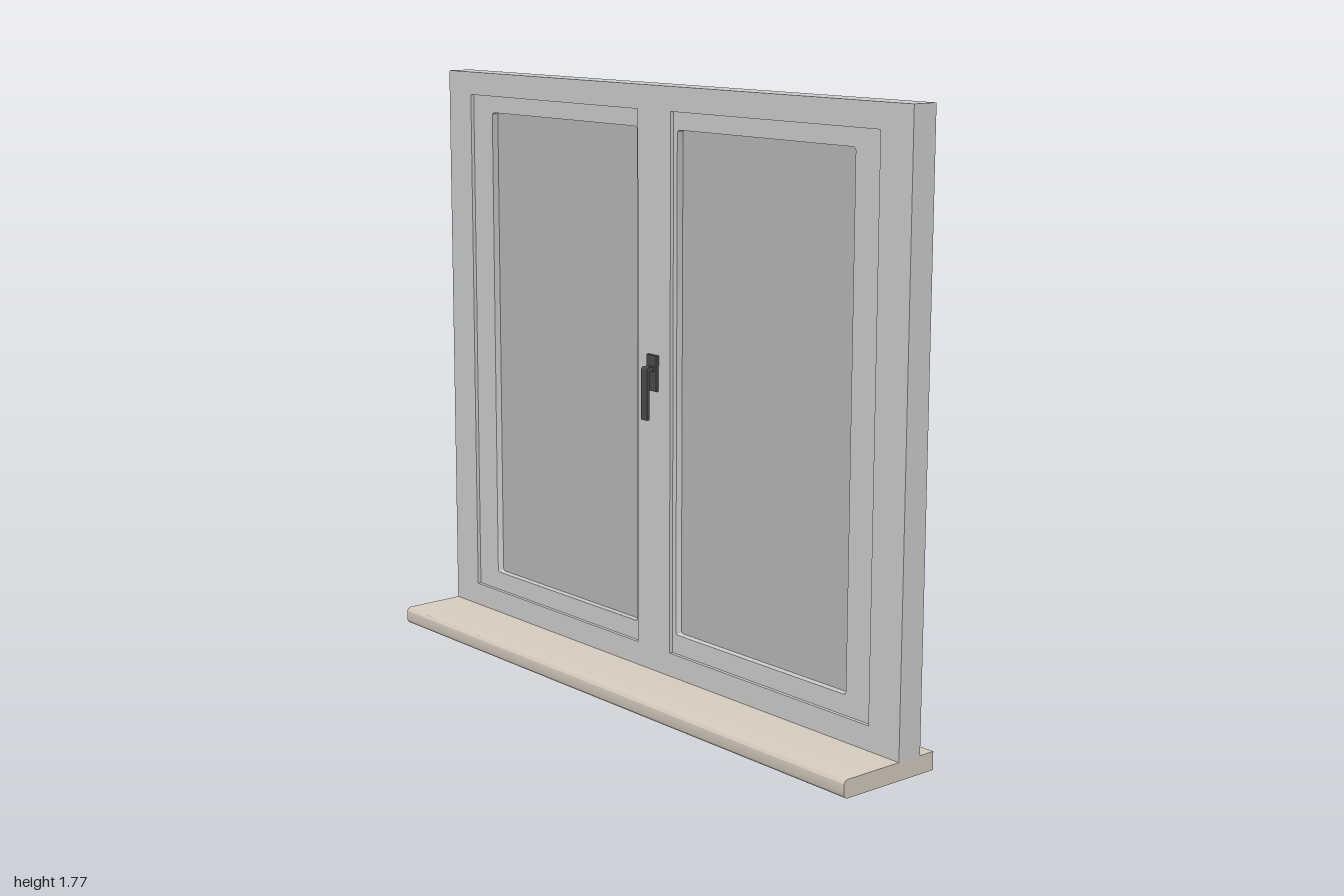
import * as THREE from 'three';
import { toCreasedNormals } from 'three/addons/utils/BufferGeometryUtils.js';

const W = 2, BASE = 0.05, TOP = 1.768;
const FRONT = -0.035, BACK = -0.115; // faces of the outer frame
const STEP = 0.011;                  // sashes sit back from the frame by this much

// Closed rectangle with optional rounded corners
function rect(Type, x0, y0, x1, y1, r = 0) {
  const p = new Type();
  if (!r) return p.moveTo(x0, y0).lineTo(x1, y0).lineTo(x1, y1).lineTo(x0, y1).closePath();
  p.absarc(x1 - r, y0 + r, r, -Math.PI / 2, 0);
  p.absarc(x1 - r, y1 - r, r, 0, Math.PI / 2);
  p.absarc(x0 + r, y1 - r, r, Math.PI / 2, Math.PI);
  p.absarc(x0 + r, y0 + r, r, Math.PI, Math.PI * 1.5);
  return p.closePath();
}

function extrude(shape, depth) {
  return toCreasedNormals(
    new THREE.ExtrudeGeometry(shape, { depth, bevelEnabled: false, curveSegments: 6 }), 0.6);
}

// Extrudes a (z, y) side profile along x, centred on x = 0
function extrudeAcross(shape, width) {
  return extrude(shape, width).translate(0, 0, -width / 2).rotateY(-Math.PI / 2);
}

export function createModel() {
  const group = new THREE.Group();
  const grey = new THREE.MeshStandardMaterial({ color: 0xcccccc });
  const paneGrey = new THREE.MeshStandardMaterial({ color: 0xb7b7b7 });
  const stone = new THREE.MeshStandardMaterial({ color: 0xd3c8bb });
  const dark = new THREE.MeshStandardMaterial({ color: 0x4a4a4a });

  const add = (name, geometry, material, x = 0, y = 0, z = 0, parent = group) => {
    const mesh = new THREE.Mesh(geometry, material);
    mesh.name = name;
    mesh.position.set(x, y, z);
    parent.add(mesh);
    return mesh;
  };

  // Sill with a softly rounded front nose
  const sill = new THREE.Shape();
  const d = 0.166, r = 0.014;
  sill.moveTo(-d, 0).lineTo(d - r, 0);
  sill.absarc(d - r, r, r, -Math.PI / 2, 0);
  sill.absarc(d - r, BASE + 0.002 - r, r, 0, Math.PI / 2);
  sill.lineTo(-d, BASE + 0.002).closePath();
  // flip the profile so its first axis points along +z
  add('sill', extrudeAcross(sill, W), stone);

  // Outer frame around one large opening
  const ox = 0.886, oy0 = 0.122, oy1 = 1.698;
  const frame = rect(THREE.Shape, -W / 2, BASE, W / 2, TOP);
  frame.holes.push(rect(THREE.Path, -ox, oy0, ox, oy1));
  add('outerFrame', extrude(frame, FRONT - BACK), grey, 0, 0, BACK);

  // Pair of sashes, set back on both faces, with rounded pane openings
  const hx0 = 0.088, hx1 = 0.789, hy0 = 0.18, hy1 = 1.647;
  const sashDepth = FRONT - BACK - 2 * STEP;
  for (const side of [1, -1]) {
    const name = side > 0 ? 'left' : 'right';
    const span = (a, b) => (side > 0 ? [a, b] : [-b, -a]);
    const [s0, s1] = span(0, ox);
    const [h0, h1] = span(hx0, hx1);
    const sash = rect(THREE.Shape, s0, oy0, s1, oy1);
    sash.holes.push(rect(THREE.Path, h0, hy0, h1, hy1, 0.01));
    add(name + 'Sash', extrude(sash, sashDepth), grey, 0, 0, BACK + STEP);
    add(name + 'Pane', new THREE.BoxGeometry(hx1 - hx0 + 0.02, hy1 - hy0 + 0.02, 0.016), paneGrey,
      side * (hx0 + hx1) / 2, (hy0 + hy1) / 2, (FRONT + BACK) / 2);
  }

  // Centre cover strip, flush with the front of the frame
  add('centreStrip', new THREE.BoxGeometry(0.144, oy1 - oy0, STEP + 0.01), grey,
    0, (oy0 + oy1) / 2, FRONT - (STEP + 0.01) / 2);

  // Handle: backplate and an elbowed lever
  const handle = new THREE.Group();
  handle.name = 'handle';
  group.add(handle);
  add('handlePlate', new THREE.BoxGeometry(0.044, 0.105, 0.01), dark, 0, 0.947, FRONT + 0.005, handle);
  const lever = new THREE.Shape();
  lever.moveTo(FRONT + 0.008, 0.953).lineTo(-0.012, 0.953);
  lever.quadraticCurveTo(-0.008, 0.953, -0.008, 0.948);
  lever.lineTo(-0.008, 0.812).lineTo(0.002, 0.812).lineTo(0.002, 0.957);
  lever.quadraticCurveTo(0.002, 0.967, -0.008, 0.967);
  lever.lineTo(FRONT + 0.008, 0.967).closePath();
  add('handleLever', extrudeAcross(lever, 0.026), dark, 0, 0, 0, handle);

  return group;
}
